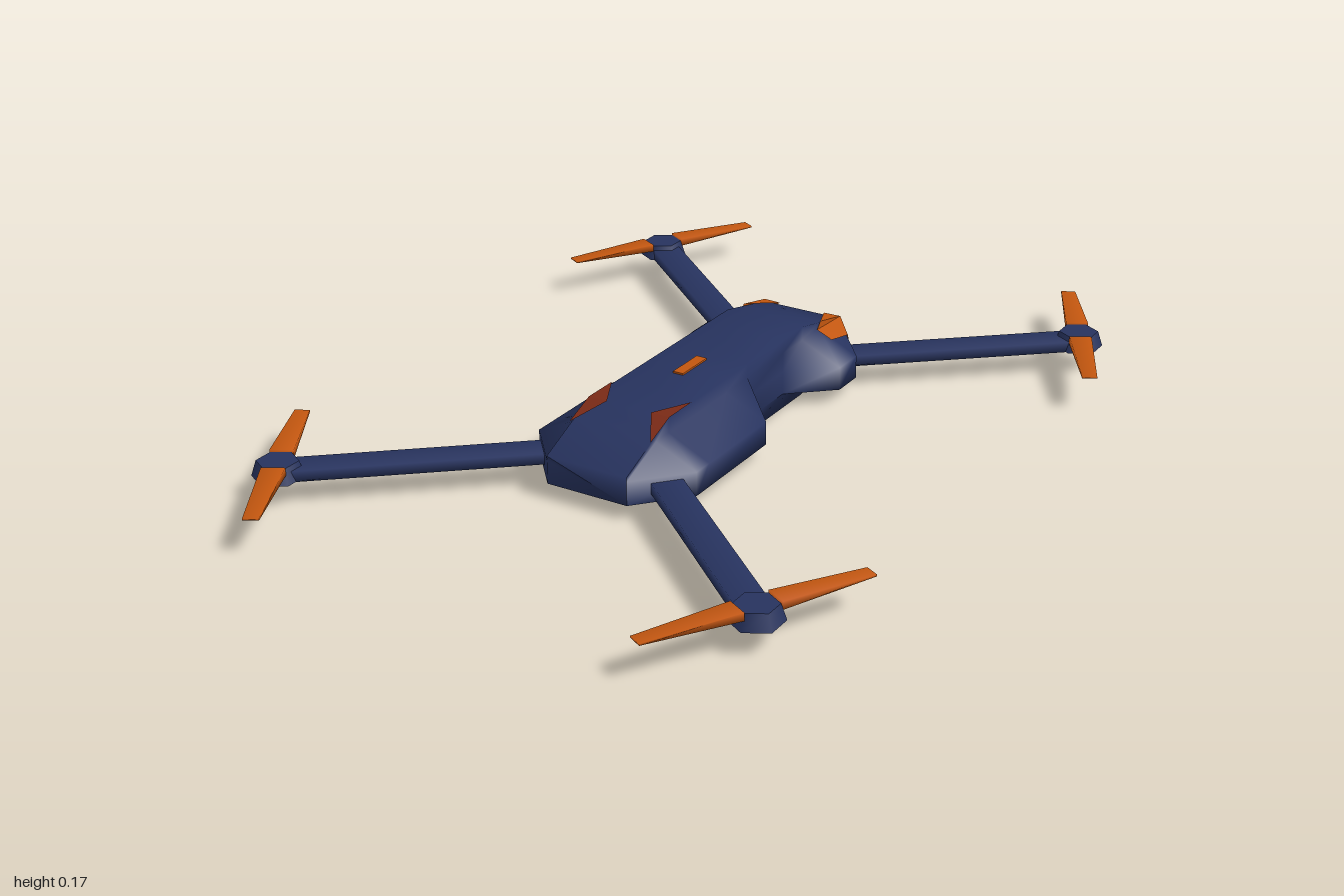
import * as THREE from 'three';
import { mergeVertices } from 'three/addons/utils/BufferGeometryUtils.js';

const mat = (name, color) => {
  const m = new THREE.MeshStandardMaterial({ color });
  m.name = name;
  return m;
};

// Shares corner vertices so the shading runs smoothly over the edges
function smooth(geo) {
  geo.deleteAttribute('normal');
  geo.deleteAttribute('uv');
  const g = mergeVertices(geo);
  g.computeVertexNormals();
  return g;
}

// Hull lofted from rings: [z, flank half-width, bottom y, top y]
function hullGeometry() {
  const stations = [
    [0.465, 0.1, 0.035, 0.1], [0.35, 0.2, 0.011, 0.15], [0.3, 0.2, 0, 0.17],
    [0.06, 0.2, 0, 0.17], [-0.03, 0.1, 0, 0.17], [-0.19, 0.1, 0, 0.17],
    [-0.28, 0.2, 0, 0.17], [-0.36, 0.2, 0.016, 0.152], [-0.455, 0.1, 0.035, 0.13],
  ];
  const pos = [], idx = [], n = 12;
  for (const [z, w, yb, yt] of stations) {
    const half = [[0.1, yb], [0.1, 0.035], [w, 0.035], [w, 0.09], [0.1, Math.min(0.137, yt)], [0.1, yt]];
    for (const [x, y] of half) pos.push(x, y, z);
    for (const [x, y] of half.reverse()) pos.push(-x, y, z);
  }
  for (let i = 0; i < stations.length - 1; i++) {
    for (let j = 0; j < n; j++) {
      const k = (j + 1) % n;
      const a = i * n + j, b = i * n + k, c = a - j + n + k, d = a + n;
      if (j < 6) idx.push(a, d, c, a, c, b);
      else idx.push(a, d, b, b, d, c);
    }
  }
  const last = (stations.length - 1) * n;
  for (let j = 1; j < n - 1; j++) {
    idx.push(0, j, j + 1, last, last + j + 1, last + j);
  }
  const g = new THREE.BufferGeometry();
  g.setAttribute('position', new THREE.Float32BufferAttribute(pos, 3));
  g.setIndex(idx);
  g.computeVertexNormals();
  return g;
}

// Thin painted patch from triangles; s mirrors it in x
function patchGeometry(triangles, s) {
  const g = new THREE.BufferGeometry();
  const pos = triangles.flat().flatMap(([x, y, z]) => [x * s, y, z]);
  g.setAttribute('position', new THREE.Float32BufferAttribute(pos, 3));
  g.computeVertexNormals();
  return g;
}

// Propeller blade along +z, tapering in width and thickness to the tip
function bladeGeometry() {
  const g = new THREE.BoxGeometry(2, 2, 1);
  const p = g.attributes.position;
  for (let i = 0; i < p.count; i++) {
    const tip = p.getZ(i) > 0;
    p.setXYZ(i, p.getX(i) * (tip ? 0.017 : 0.026), p.getY(i) * (tip ? 0.002 : 0.009), tip ? 0.26 : 0.042);
  }
  return smooth(g);
}

export function createModel() {
  const navy = mat('navy shell', 0x27335f);
  const orange = mat('orange', 0xc2560f);
  const rust = mat('dark rust', 0x7a2a16);
  for (const m of [orange, rust]) m.side = THREE.DoubleSide;

  const model = new THREE.Group();
  model.name = 'quadcopter';
  const add = (parent, name, geo, material, x = 0, y = 0, z = 0) => {
    const mesh = new THREE.Mesh(geo, material);
    mesh.name = name;
    mesh.position.set(x, y, z);
    parent.add(mesh);
    return mesh;
  };

  // Hull and status light
  add(model, 'hull', hullGeometry(), navy);
  add(model, 'statusLight', new THREE.BoxGeometry(0.026, 0.006, 0.1), orange, -0.004, 0.171, 0.045);

  // Front markings, folded over the nose slope
  const front = [
    [[0.102, 0.173, 0.21], [0.056, 0.173, 0.3], [0.102, 0.173, 0.3]],
    [[0.056, 0.173, 0.3], [0.102, 0.144, 0.375], [0.102, 0.173, 0.3]],
  ];

  // Rear corner lamps: roof, side wall, flank and tail faces
  const a = [0.06, 0.134, -0.457], b = [0.103, 0.134, -0.459], c = [0.103, 0.156, -0.36];
  const d = [0.103, 0.14, -0.345], f = [0.152, 0.116, -0.406], e = [0.142, 0.123, -0.345];
  const low = [0.103, 0.098, -0.459], lowOut = [0.152, 0.1, -0.412];
  const rear = [[a, b, c], [b, c, d], [d, b, f], [d, f, e], [b, low, lowOut], [b, lowOut, f], [a, b, low]];

  for (const [side, s] of [['left', 1], ['right', -1]]) {
    add(model, side + 'FrontMarking', patchGeometry(front, s), rust);
    add(model, side + 'RearLamp', patchGeometry(rear, s), orange);
  }

  // Arms, motors and two-bladed propellers
  const hubX = 0.583, hubZ = 0.762, rootX = 0.13, rootZ = 0.375;
  const dx = hubX - rootX, dz = hubZ - rootZ;
  const armGeo = smooth(new THREE.BoxGeometry(0.07, 0.025, Math.hypot(dx, dz)));
  const motorGeo = new THREE.CylinderGeometry(0.046, 0.058, 0.036, 6);
  const blade = bladeGeometry();
  const bladeMats = [orange, orange, orange, navy, orange, orange];
  for (const sx of [1, -1]) {
    for (const sz of [1, -1]) {
      const corner = new THREE.Group();
      corner.name = (sz > 0 ? 'front' : 'rear') + (sx > 0 ? 'Left' : 'Right') + 'Rotor';
      model.add(corner);
      const arm = add(corner, 'arm', armGeo, navy, sx * (hubX + rootX) / 2, 0.067, sz * (hubZ + rootZ) / 2);
      arm.rotation.y = Math.atan2(sx * dx, sz * dz);
      add(corner, 'motor', motorGeo, navy, sx * hubX, 0.073, sz * hubZ);
      for (const turn of [0, Math.PI]) {
        const mesh = add(corner, 'propellerBlade', blade, bladeMats, sx * hubX, 0.086, sz * hubZ);
        mesh.rotation.y = -0.5 * sx * sz + turn;
      }
    }
  }
  return model;
}
